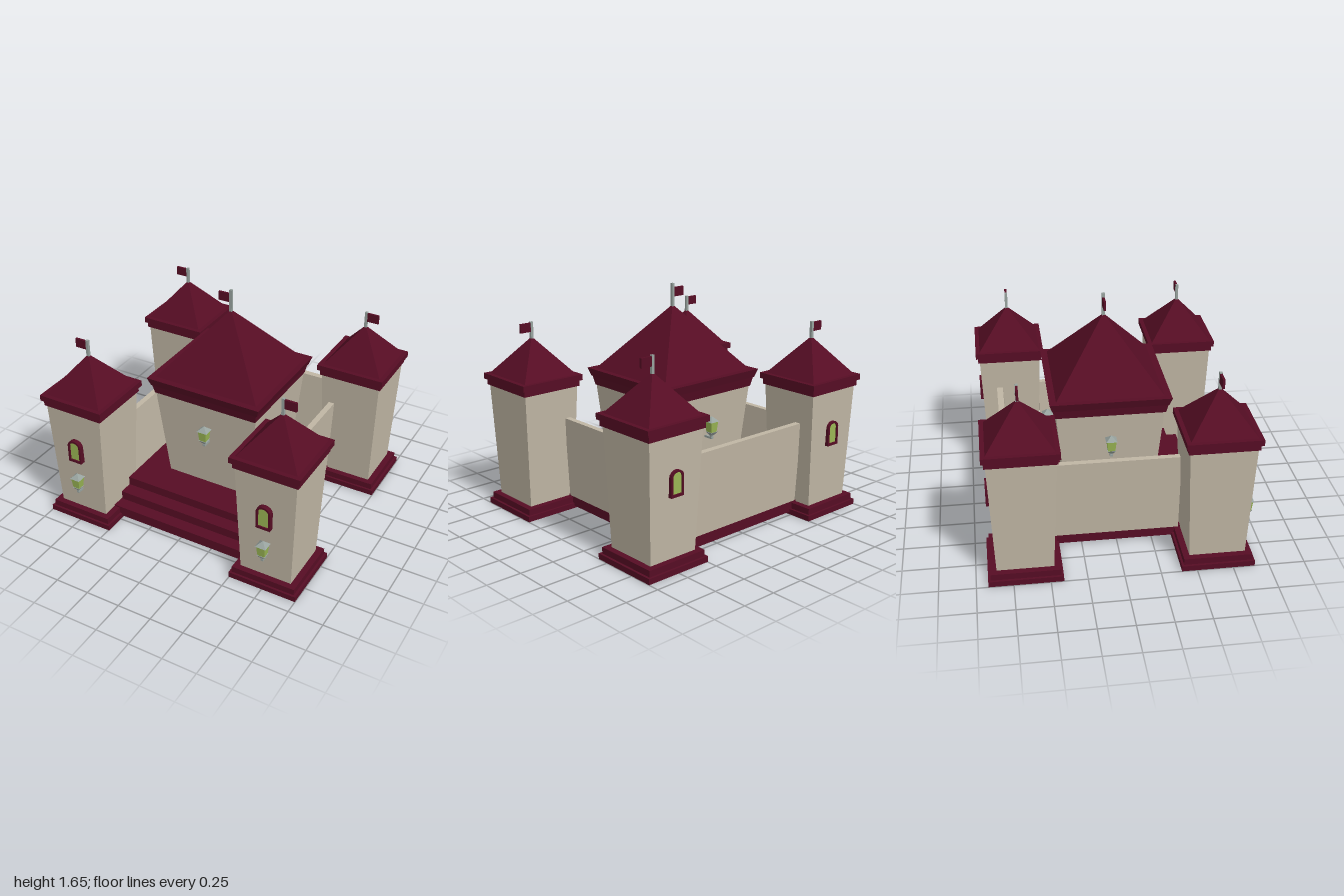
import * as THREE from 'three';

const mat = (name, color) => {
  const m = new THREE.MeshStandardMaterial({ color });
  m.name = name;
  return m;
};

export function createModel() {
  const maroon = mat('maroon', 0x560d24);
  const stone = mat('stone', 0xc0b6a4);
  const metal = mat('metal', 0x98a39f);
  const glass = mat('greenGlass', 0x9ab654);

  const add = (parent, name, geo, material, x = 0, y = 0, z = 0) => {
    const mesh = new THREE.Mesh(geo, material);
    mesh.name = name;
    mesh.position.set(x, y, z);
    parent.add(mesh);
    return mesh;
  };

  // Box standing on its origin, with a different size at the top; shift leans the top in z
  const taper = (bw, bd, tw, td, h, shift = 0) => {
    const g = new THREE.BoxGeometry(1, 1, 1);
    const p = g.attributes.position;
    for (let i = 0; i < p.count; i++) {
      const top = p.getY(i) > 0;
      p.setXYZ(i, p.getX(i) * (top ? tw : bw), top ? h : 0,
        p.getZ(i) * (top ? td : bd) + (top ? shift : 0));
    }
    g.computeVertexNormals();
    return g;
  };
  const block = (w, h, d) => taper(w, d, w, d, h);

  const group = (parent, name, x, y, z, ry = 0) => {
    const g = new THREE.Group();
    g.name = name;
    g.position.set(x, y, z);
    g.rotation.y = ry;
    parent.add(g);
    return g;
  };

  // Pole and banner on a roof tip; dir is the side the banner flies to
  const flag = (parent, y, h, dir, bannerY) => {
    add(parent, 'flagPole', block(0.02, h + 0.03, 0.02), metal, 0, y - 0.03, 0);
    add(parent, 'flagBanner', block(0.085, 0.065, 0.016), maroon, dir * 0.052, bannerY, 0);
  };

  // Lantern facing +z, with the wall at z = -reach
  const lantern = (parent, x, y, z, ry, reach) => {
    const g = group(parent, 'lantern', x, y, z, ry);
    add(g, 'lanternArm', block(0.02, 0.014, reach + 0.02), metal, 0, 0, -reach / 2);
    add(g, 'lanternStem', block(0.018, 0.035, 0.018), metal);
    add(g, 'lanternCup', taper(0.025, 0.025, 0.06, 0.06, 0.025), metal, 0, 0.027);
    add(g, 'lanternGlass', taper(0.05, 0.05, 0.066, 0.066, 0.08), glass, 0, 0.05);
    add(g, 'lanternRoof', taper(0.078, 0.078, 0, 0, 0.036), metal, 0, 0.128);
  };

  // Arched outline of half width w, from y0 up to the spring line y1
  const arch = (C, w, y0, y1, rise) => {
    const s = new C();
    s.moveTo(-w, y0);
    s.lineTo(w, y0);
    s.lineTo(w, y1);
    for (let i = 1; i <= 8; i++) {
      const a = (i / 8) * Math.PI;
      s.lineTo(Math.cos(a) * w, y1 + Math.sin(a) * rise);
    }
    s.closePath();
    return s;
  };
  const frameShape = arch(THREE.Shape, 0.053, -0.088, 0.045, 0.045);
  frameShape.holes.push(arch(THREE.Path, 0.038, -0.07, 0.045, 0.03));
  const frameGeo = new THREE.ExtrudeGeometry(frameShape, { depth: 0.048, bevelEnabled: false });
  const paneGeo = new THREE.ShapeGeometry(arch(THREE.Shape, 0.04, -0.072, 0.045, 0.032));

  const model = new THREE.Group();
  model.name = 'castle';

  // Stepped platform
  add(model, 'lowerStep', block(1.2, 0.075, 1.47), maroon, 0, 0.02, -0.005);
  add(model, 'middleStep', block(1.1, 0.07, 1.33), maroon, 0, 0.09, -0.025);
  add(model, 'topFloor', block(1.1, 0.065, 1.23), maroon, 0, 0.16, -0.075);

  // Corner towers
  for (const sx of [-1, 1]) {
    for (const front of [true, false]) {
      const t = group(model, front ? 'frontTower' : 'backTower', sx * 0.747, 0, front ? 0.647 : -0.666);
      add(t, 'towerFoot', block(0.505, 0.04, 0.507), maroon);
      add(t, 'towerPlinth', block(0.47, 0.045, 0.475), maroon, 0, 0.04);
      add(t, 'towerBody', taper(0.38, 0.388, 0.445, 0.452, 0.835), stone, 0, 0.085);
      add(t, 'towerCornice', block(0.47, 0.045, 0.475), maroon, 0, 0.915);
      add(t, 'towerEave', block(0.505, 0.042, 0.507), maroon, 0, 0.958);
      add(t, 'towerRoof', taper(0.44, 0.446, 0, 0, 0.272), maroon, 0, 1);
      flag(t, 1.27, 0.11, sx, 1.308);

      // Arched window on the outer face
      const w = group(t, 'window', 0, 0.602, 0, front ? 0 : Math.PI);
      const out = front ? 0.251 : 0.237;
      add(w, 'windowFrame', frameGeo, maroon, 0, 0, out - 0.048);
      add(w, 'windowPane', paneGeo, glass, 0, 0, out - 0.01);
      if (front) lantern(t, 0, 0.248, 0.242, 0, 0.042);
    }
  }

  // Curtain walls leaning outward
  const wall = (name, x, z, ry, length, thick, lean) => {
    const g = group(model, name, x, 0.09, z, ry);
    add(g, 'wallPanel', taper(length, thick, length, thick, 0.6, lean), stone);
  };
  wall('leftWall', 0.58, -0.007, Math.PI / 2, 0.89, 0.042, 0.03);
  wall('rightWall', -0.585, -0.007, -Math.PI / 2, 0.89, 0.042, 0.033);
  wall('backWall', 0, -0.715, Math.PI, 1.09, 0.045, 0.037);

  // Central keep
  const keep = group(model, 'keep', 0, 0, -0.019);
  add(keep, 'keepBody', taper(0.675, 0.63, 0.8, 0.75, 0.7), stone, 0, 0.222);
  add(keep, 'keepCornice', taper(0.805, 0.77, 0.83, 0.8, 0.067), maroon, 0, 0.915);
  add(keep, 'keepEave', taper(0.845, 0.805, 0.886, 0.842, 0.06), maroon, 0, 0.98);
  add(keep, 'keepRoof', taper(0.8, 0.746, 0, 0, 0.464), maroon, 0, 1.04);
  flag(keep, 1.5, 0.155, -1, 1.56);
  lantern(keep, 0.012, 0.61, 0.408, 0, 0.06);
  lantern(keep, 0, 0.61, -0.408, Math.PI, 0.06);
  lantern(keep, 0.428, 0.61, 0, Math.PI / 2, 0.055);
  lantern(keep, -0.432, 0.61, 0, -Math.PI / 2, 0.055);

  return model;
}
